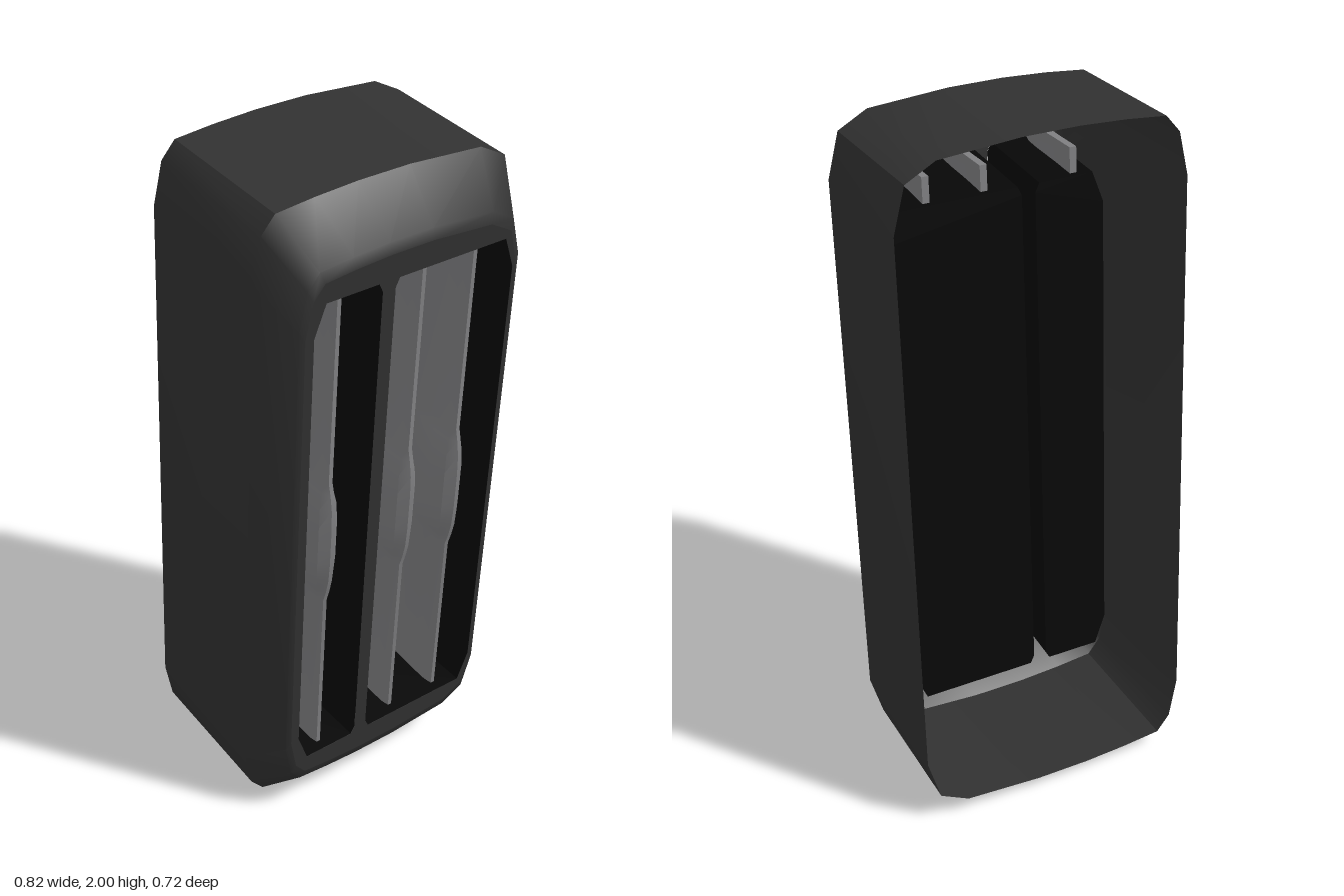
import * as THREE from 'three';
import { toCreasedNormals } from 'three/addons/utils/BufferGeometryUtils.js';

const shellMat = new THREE.MeshStandardMaterial({ name: 'charcoal shell', color: 0x313131, side: THREE.DoubleSide });
const wellMat = new THREE.MeshStandardMaterial({ name: 'black well', color: 0x070707, side: THREE.DoubleSide });
const vaneMat = new THREE.MeshStandardMaterial({ name: 'grey vane', color: 0x808082 });

const FRONT = 0.297;
const LEAN = 0.069;
// The face is raked: depth falls off slightly towards +x.
const RAKE = new THREE.Matrix4().set(1, 0, 0, 0, 0, 1, 0, 0, -0.028, 0, 1, 0, 0, 0, 0, 1);

// Skin a list of closed rings (arrays of [x, y, z]); optionally cap either end.
function loft(rings, { capStart = false, capEnd = false, crease = 0.5 } = {}) {
  const n = rings[0].length;
  const index = [];
  for (let r = 0; r < rings.length - 1; r++) {
    for (let i = 0; i < n; i++) {
      const a = r * n + i, b = r * n + (i + 1) % n;
      index.push(a, b, b + n, a, b + n, a + n);
    }
  }
  const last = (rings.length - 1) * n;
  for (let i = 1; i < n - 1; i++) {
    if (capStart) index.push(0, i + 1, i);
    if (capEnd) index.push(last, last + i, last + i + 1);
  }
  const geo = new THREE.BufferGeometry();
  geo.setAttribute('position', new THREE.Float32BufferAttribute(rings.flat(2), 3));
  geo.setIndex(index);
  return toCreasedNormals(geo, crease);
}

function mesh(name, geo, mat) {
  const m = new THREE.Mesh(geo.applyMatrix4(RAKE), mat);
  m.name = name;
  return m;
}

// Body outline, counter-clockwise, top half mirrored to the bottom.
const topHalf = [
  [0.41, 0.80], [0.375, 0.925], [0.29, 0.97], [0.06, 0.986], [-0.1, 0.986],
  [-0.23, 0.979], [-0.345, 0.968], [-0.385, 0.92], [-0.41, 0.80],
];
const mirrorY = (half) => [...half, ...half.slice().reverse().map(([x, y]) => [x, -y])];
const outline = mirrorY(topHalf);

const ring = (points, z, sx = 1, sy = 1) => points.map(([x, y]) => [x * sx, y * sy, z]);

// Window outline with a separate corner cut on each side.
function windowPoints(x0, x1, cut0, cut1, h = 0.767) {
  return mirrorY([
    [x1, h - cut1[1]], [x1 - cut1[0], h],
    [x0 + cut0[0], h], [x0, h - cut0[1]],
  ]);
}

const outerCut = [0.033, 0.09], innerCut = [0.012, 0.025];
const windows = [
  { name: 'narrow', points: windowPoints(-0.31, -0.105, outerCut, innerCut) },
  { name: 'wide', points: windowPoints(-0.065, 0.325, innerCut, outerCut) },
];

// Upright blade with a swollen grip in the middle.
function vaneGeometry() {
  const levels = [
    [-0.745, 0], [-0.2, 0], [-0.165, 0.45], [-0.12, 0.85], [-0.06, 1], [0, 1],
    [0.06, 1], [0.12, 0.85], [0.165, 0.45], [0.2, 0], [0.82, 0],
  ];
  const back = 0.01;
  const rings = levels.map(([y, bump]) => {
    const tip = FRONT - 0.015 + 0.022 * bump;
    const side = [
      [0.006, tip], [0.012 + 0.018 * bump, tip - 0.025],
      [0.013 + 0.023 * bump, tip - 0.08], [0.01 + 0.006 * bump, tip - 0.18], [0.01, back],
    ];
    return [...side, ...side.slice().reverse().map(([x, z]) => [-x, z])].map(([x, z]) => [x, y, z]);
  });
  return loft(rings, { capStart: true, capEnd: true, crease: 0.6 });
}

export function createModel() {
  const body = new THREE.Group();
  body.name = 'leaningBody';

  // Open-backed shell with a bevelled front edge
  body.add(mesh('shell', loft([
    ring(outline, -0.28),
    ring(outline, 0.17),
    ring(outline, 0.288, 0.85, 0.88),
    ring(outline, FRONT, 0.82, 0.85),
  ], { crease: 0.6 }), shellMat));

  // Front frame with the two window openings
  const toVec = ([x, y]) => new THREE.Vector2(x, y);
  const face = new THREE.Shape(ring(outline, 0, 0.82, 0.85).map(toVec));
  for (const w of windows) face.holes.push(new THREE.Path(w.points.map(toVec)));
  body.add(mesh('frontFrame', new THREE.ShapeGeometry(face).translate(0, 0, FRONT), shellMat));

  // Black wells running level towards the back
  const wellBack = -0.005;
  const drop = (FRONT - wellBack) * LEAN;
  for (const w of windows) {
    const rear = w.points.map(([x, y]) => [x, y - drop, wellBack]);
    const geo = loft([rear, ring(w.points, FRONT - 0.001)], { capStart: true });
    body.add(mesh(w.name + 'Well', geo, wellMat));
  }

  // Vanes, their upper ends reaching through the well tops
  [-0.227, 0.038, 0.204].forEach((x, i) => {
    body.add(mesh('vane' + (i + 1), vaneGeometry().translate(x, 0, 0), vaneMat));
  });

  // Lean forward, then stand centred on the ground
  body.rotation.x = LEAN;
  const model = new THREE.Group();
  model.name = 'ventUnit';
  model.add(body);
  model.updateMatrixWorld(true);
  const box = new THREE.Box3().setFromObject(model, true);
  const c = box.getCenter(new THREE.Vector3());
  body.position.set(-c.x, -box.min.y, -c.z);
  return model;
}
